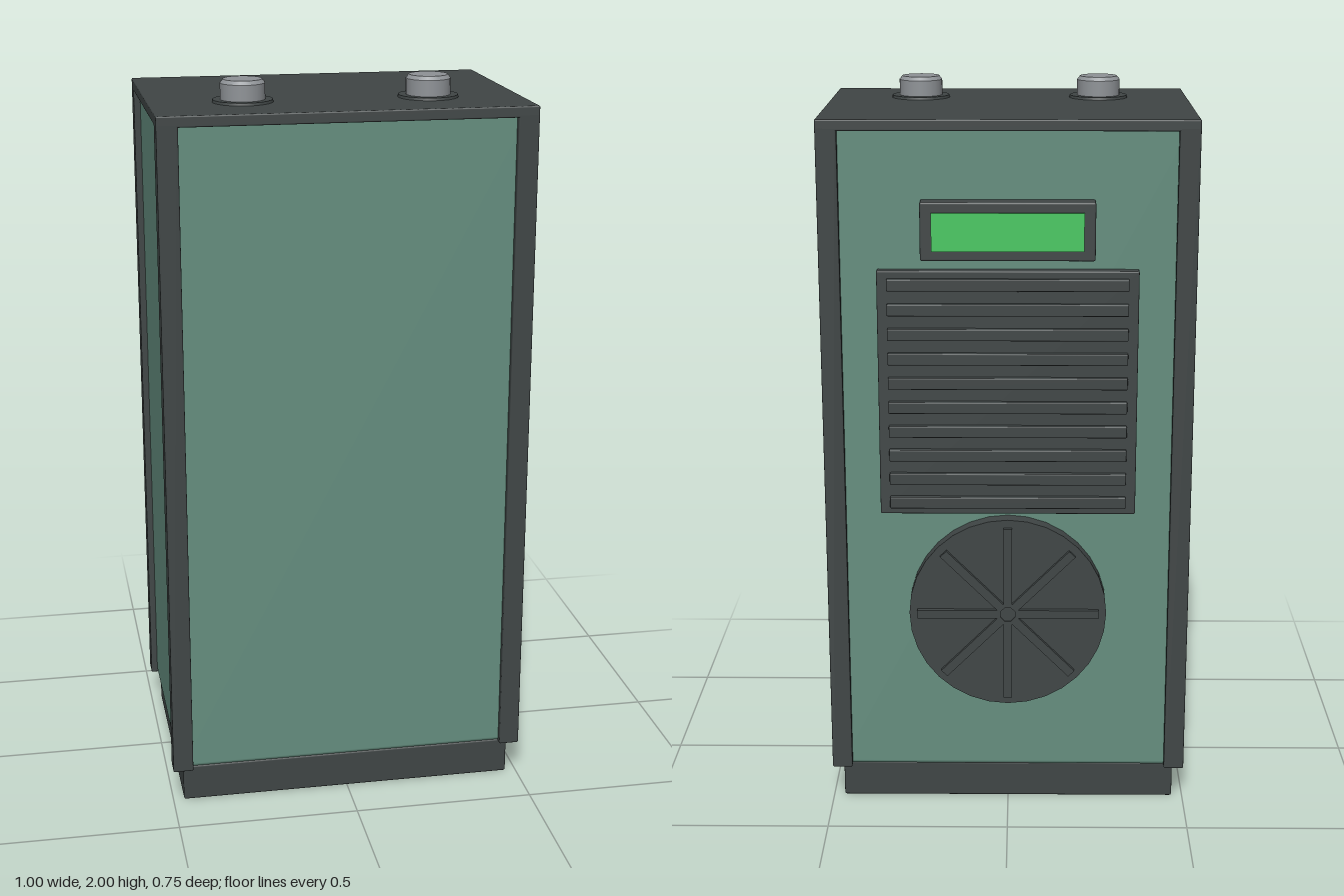
import * as THREE from 'three';
import { RoundedBoxGeometry } from 'three/addons/geometries/RoundedBoxGeometry.js';

const mat = (name, color) => new THREE.MeshStandardMaterial({ name, color });

export function createModel() {
  const dark = mat('dark frame', 0x404646);
  const green = mat('panel green', 0x658e7f);
  const glow = mat('screen green', 0x48c862);
  const grey = mat('metal grey', 0x8f9397);
  const model = new THREE.Group();
  model.name = 'cabinet';

  const add = (name, geo, material, x, y, z, parent = model) => {
    const m = new THREE.Mesh(geo, material);
    m.name = name;
    m.position.set(x, y, z);
    parent.add(m);
    return m;
  };
  // Box given by its minimum and maximum along each axis; r softens the edges
  const box = (name, material, [x0, x1], [y0, y1], [z0, z1], r = 0, parent = model) => {
    const s = [x1 - x0, y1 - y0, z1 - z0];
    const geo = r ? new RoundedBoxGeometry(...s, 2, r) : new THREE.BoxGeometry(...s);
    return add(name, geo, material, (x0 + x1) / 2, (y0 + y1) / 2, (z0 + z1) / 2, parent);
  };

  // Cabinet: base, green core, corner posts and lid
  const back = -0.337, front = 0.372, post = 0.056;
  box('base', dark, [-0.47, 0.47], [0, 0.105], [-0.31, 0.35], 0.006);
  box('bodyPanels', green, [-0.482, 0.482], [0.102, 1.925], [back + 0.018, front - 0.018], 0.012);
  for (const x of [-0.5, 0.5 - post])
    for (const z of [back, front - post])
      box('cornerPost', dark, [x, x + post], [0.1, 1.92], [z, z + post], 0.004);
  box('lid', dark, [-0.5, 0.5], [1.91, 1.94], [back, front], 0.004);

  // Two connectors on the lid
  for (const x of [-0.25, 0.25]) {
    add('connectorFlange', new THREE.CylinderGeometry(0.08, 0.082, 0.008, 24), dark, x, 1.943, 0.16);
    const profile = [[0, 0], [0.06, 0], [0.06, 0.05], [0.052, 0.06], [0, 0.06]]
      .flatMap((p, i) => (i > 0 && i < 4 ? [p, p] : [p]))
      .map(([r, y]) => new THREE.Vector2(r, y));
    add('connector', new THREE.LatheGeometry(profile, 24), grey, x, 1.94, 0.16);
  }

  // Display on the back
  const wall = back + 0.03;
  box('displayBezel', dark, [-0.23, 0.23], [1.575, 1.73], [-0.367, wall], 0.005);
  box('displayScreen', glow, [-0.2, 0.2], [1.602, 1.703], [-0.375, -0.366]);

  // Louvred vent
  const vent = new THREE.Group();
  vent.name = 'vent';
  model.add(vent);
  box('ventPlate', dark, [-0.347, 0.347], [0.87, 1.545], [-0.348, wall], 0.004, vent);
  for (let i = 0; i < 10; i++) {
    const y = 0.906 + i * 0.067;
    box('ventSlat', dark, [-0.32, 0.32], [y - 0.016, y + 0.016], [-0.364, -0.345], 0.003, vent);
  }

  // Fan cover: disc, hub and eight raised spokes
  const fan = new THREE.Group();
  fan.name = 'fanCover';
  fan.position.set(0, 0.585, 0);
  model.add(fan);
  const disc = (name, r, z0, z1) => {
    const geo = new THREE.CylinderGeometry(r, r, z1 - z0, 32).rotateX(Math.PI / 2);
    return add(name, geo, dark, 0, 0, (z0 + z1) / 2, fan);
  };
  disc('fanDisc', 0.272, -0.362, wall);
  disc('fanHub', 0.03, -0.37, -0.36);
  for (let i = 0; i < 8; i++) {
    const spoke = new THREE.BoxGeometry(0.024, 0.23, 0.016).translate(0, 0.135, 0);
    add('fanSpoke', spoke, dark, 0, 0, -0.366, fan).rotation.z = (i * Math.PI) / 4;
  }

  return model;
}
